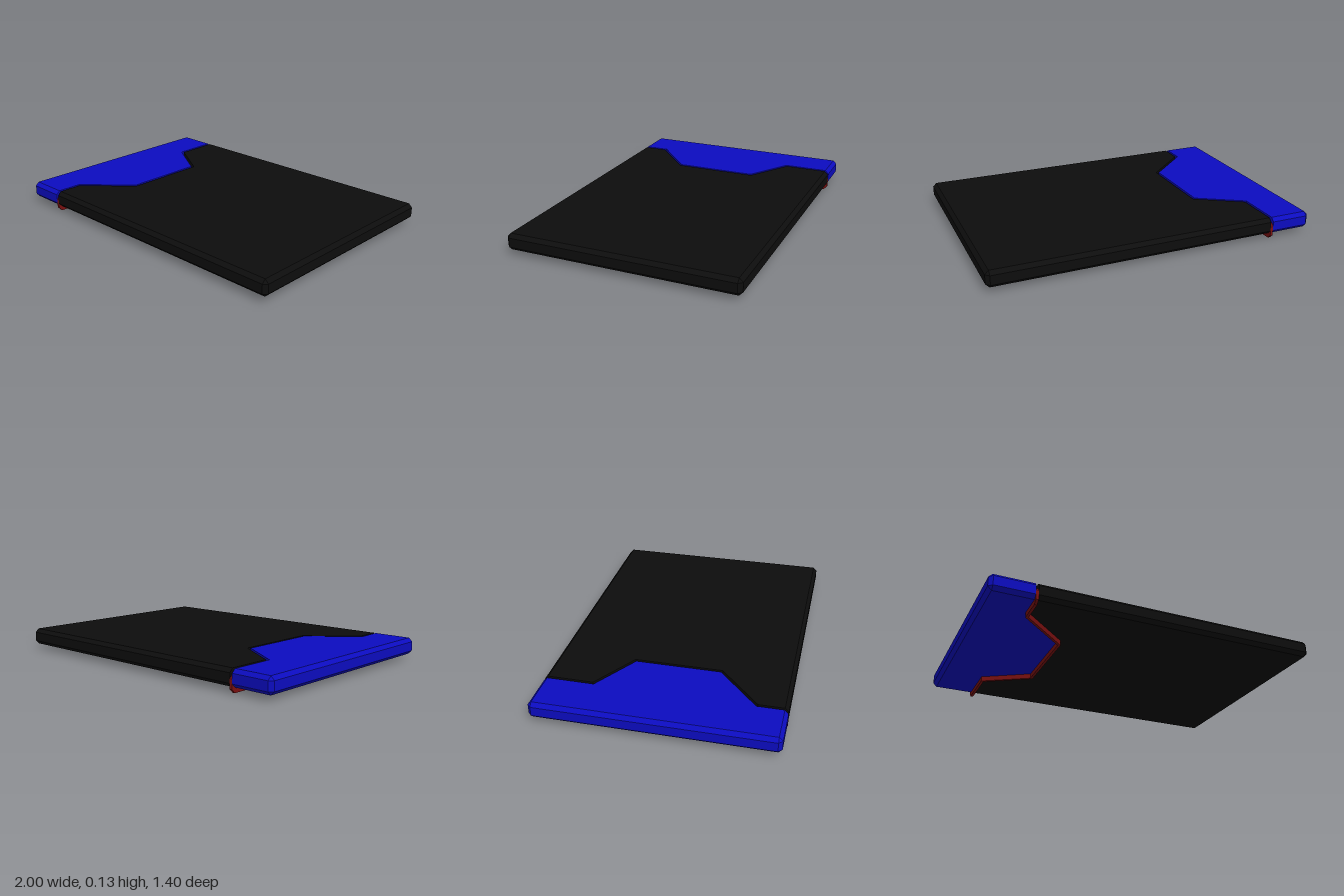
import * as THREE from 'three';

const X = 1, Z = 0.7, H = 0.1, C = 0.022; // half length, half depth, thickness, chamfer
const GAP = 0.008;                         // half width of the seam
// seam centre line as [x, z], from back to front; its ends follow the case edge
const SEAM = [[-0.737, -Z], [-0.737, -0.405], [-0.462, -0.235], [-0.462, 0.28], [-0.737, 0.527], [-0.737, Z]];

// seam line shifted sideways by d with mitred corners, ends pulled in by inset
function seam(d, inset) {
  const normal = (a, b) => new THREE.Vector2(b[1] - a[1], a[0] - b[0]).normalize();
  const last = SEAM.length - 1;
  return SEAM.map((p, i) => {
    const n1 = normal(SEAM[Math.max(i - 1, 0)], SEAM[Math.max(i, 1)]);
    const n2 = normal(SEAM[Math.min(i, last - 1)], SEAM[Math.min(i + 1, last)]);
    const m = n1.clone().add(n2);
    m.multiplyScalar(d / m.dot(n1));
    const end = i === 0 ? inset : i === last ? -inset : 0;
    return [p[0] + m.x, p[1] + m.y + end];
  });
}

// the two chamfered corners at one end of the case, front to back
function endCorners(side, inset) {
  const x = side * (X - inset), z = Z - inset;
  const xc = side * (X - C), zc = Z - C;
  return [[xc, z], [x, zc], [x, -zc], [xc, -z]];
}

// solid lofted through chamfered levels; outline(inset) gives one level
function slab(name, outline, color, y0) {
  const levels = [[0, C], [C, 0], [H - C, 0], [H, C]].map(([y, inset]) => {
    const ring = outline(inset).map(([x, z]) => new THREE.Vector2(x, -z));
    if (THREE.ShapeUtils.isClockWise(ring)) ring.reverse();
    return { y, ring };
  });
  const pos = [];
  const put = (level, i) => pos.push(level.ring[i].x, level.y, -level.ring[i].y);
  const n = levels[0].ring.length;
  for (let k = 0; k < 3; k++) {
    const lo = levels[k], hi = levels[k + 1];
    for (let i = 0; i < n; i++) {
      const j = (i + 1) % n;
      put(lo, i); put(lo, j); put(hi, j);
      put(lo, i); put(hi, j); put(hi, i);
    }
  }
  for (const [a, b, c] of THREE.ShapeUtils.triangulateShape(levels[3].ring.slice(), [])) {
    put(levels[3], a); put(levels[3], b); put(levels[3], c);
    put(levels[0], c); put(levels[0], b); put(levels[0], a);
  }
  const geometry = new THREE.BufferGeometry();
  geometry.setAttribute('position', new THREE.Float32BufferAttribute(pos, 3));
  geometry.computeVertexNormals();
  const mesh = new THREE.Mesh(geometry, new THREE.MeshStandardMaterial({ color, flatShading: true }));
  mesh.name = name;
  mesh.position.y = y0;
  return mesh;
}

export function createModel() {
  const group = new THREE.Group();
  group.name = 'splitPanel';
  group.add(
    // large dark body to the right of the seam
    slab('mainPanel', (s) => [...seam(GAP, s), ...endCorners(1, s)], 0x0d0d0d, 0.03),
    // blue end cap to the left of the seam
    slab('endCap', (s) => [...seam(-GAP, s), ...endCorners(-1, s)], 0x0c0cc0, 0.03),
    // red strip sitting lower in the seam, standing proud underneath
    slab('seamStrip', (s) => [...seam(-GAP, s), ...seam(GAP, s).reverse()], 0x7a1010, 0)
  );
  return group;
}
